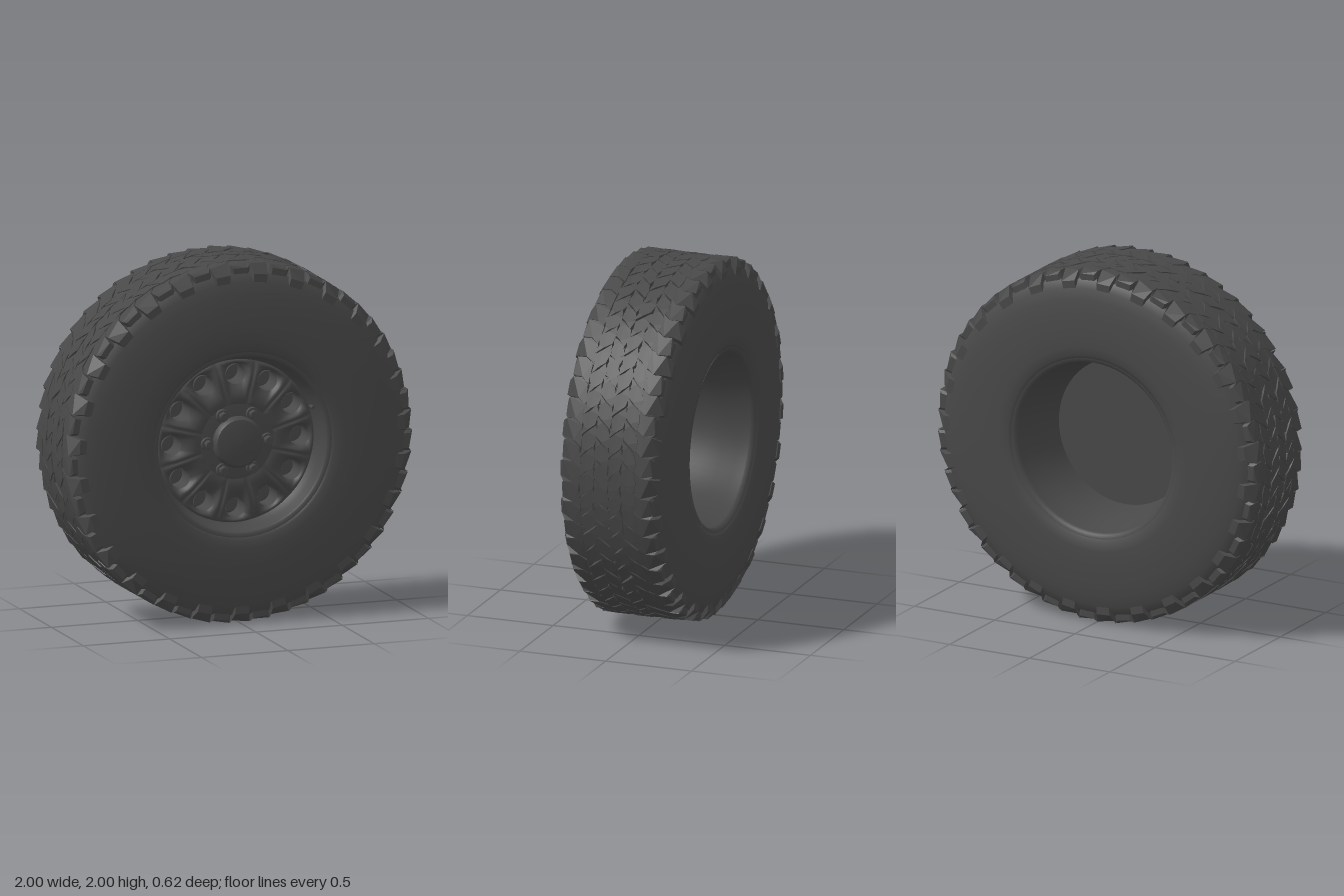
import * as THREE from 'three';
import { mergeGeometries, mergeVertices } from 'three/addons/utils/BufferGeometryUtils.js';

const rubber = new THREE.MeshStandardMaterial({ color: 0x484848, side: THREE.DoubleSide });
rubber.name = 'charcoal';

// Small seeded generator for the irregular tread
let seed = 7;
const rand = () => {
  seed = (seed * 16807) % 2147483647;
  return seed / 2147483647;
};

// Profile of [radius, z] pairs spun round the axle
function spin(profile, segments) {
  const g = new THREE.LatheGeometry(profile.map(([r, z]) => new THREE.Vector2(r, z)), segments);
  return g.rotateX(Math.PI / 2);
}

// One tread lug: outline in (angle, z), wrapped over the tyre crown
function lug(outline, height) {
  const shape = new THREE.Shape(outline.map(([a, z]) => new THREE.Vector2(a, z)));
  const g = new THREE.ExtrudeGeometry(shape, { depth: 1, bevelEnabled: false });
  const p = g.attributes.position;
  for (let i = 0; i < p.count; i++) {
    const a = p.getX(i), z = p.getY(i), top = p.getZ(i);
    const drop = Math.max(0, Math.abs(z) - 0.25) * 1.5;
    const r = 0.955 - drop + top * height;
    p.setXYZ(i, r * Math.cos(a), r * Math.sin(a), z);
  }
  g.computeVertexNormals();
  return g;
}

// Two rows of shoulder lugs and four rows of interlocking centre lugs
function treadRow(row) {
  const count = 54, pitch = (Math.PI * 2) / count, lugs = [];
  for (let i = 0; i < count; i++) {
    const a = (i + (row % 2) * 0.5) * pitch;
    const w = pitch * 0.485, skew = pitch * (row % 2 ? 0.3 : -0.3);
    const h = 0.039 + rand() * 0.006;
    const j = () => (rand() - 0.5) * 0.016;
    if (row === 0 || row === 5) {
      const end = i % 2 ? 0.262 : 0.285;
      let pts = [[a - w - skew, 0.155 + j()], [a + w - skew, 0.155 + j()], [a + w, 0.2],
        [a + w, 0.25], [a + w * 0.75, end], [a - w * 0.75, end], [a - w, 0.25], [a - w, 0.2]];
      if (row === 0) pts = pts.map(([b, z]) => [b, -z]).reverse();
      lugs.push(lug(pts, h));
    } else {
      const z = (row - 2.5) * 0.08, d = 0.039;
      lugs.push(lug([[a - w - skew, z - d + j()], [a - skew, z - d - 0.012], [a + w - skew, z - d + j()],
        [a + w * 0.9, z], [a + w + skew, z + d + j()], [a + skew, z + d - 0.012],
        [a - w + skew, z + d + j()], [a - w * 0.9, z]], h));
    }
  }
  return mergeGeometries(lugs);
}

// Pressed wheel face: one twelfth, stretched from a round hole to the sector edges
const HOLES = 12, HOLE_RING = 0.37, HOLE_R = 0.056;
function faceSector(k) {
  const around = 24, rings = 6, pos = [], index = [];
  const mid = Math.PI / 2 + (k * Math.PI * 2) / HOLES;
  for (let i = 0; i <= rings; i++) {
    const t = i / rings;
    for (let n = 0; n < around; n++) {
      const q = (n / around) * Math.PI * 2, c = Math.cos(q), s = Math.sin(q);
      const m = Math.max(Math.abs(c), Math.abs(s));
      const edgeR = HOLE_RING + (c > 0 ? 0.085 : -0.17) * Math.abs(c / m);
      const edgeA = (s / m) * (Math.PI / HOLES);
      const x = (1 - t) * (HOLE_RING + HOLE_R * c) + t * edgeR * Math.cos(edgeA);
      const y = (1 - t) * HOLE_R * s + t * edgeR * Math.sin(edgeA);
      const r = Math.hypot(x, y);
      const z = 0.2 - Math.max(0, r - 0.36) * 0.25 - 0.022 * (1 - t) ** 2
        + 0.012 * Math.sin(Math.PI * t);
      pos.push(x * Math.cos(mid) - y * Math.sin(mid), x * Math.sin(mid) + y * Math.cos(mid), z);
      if (i < rings) {
        const a = i * around + n, b = i * around + ((n + 1) % around);
        index.push(a, a + around, b, b, a + around, b + around);
      }
    }
  }
  const g = new THREE.BufferGeometry();
  g.setAttribute('position', new THREE.Float32BufferAttribute(pos, 3));
  g.setIndex(index);
  return g;
}

export function createModel() {
  const wheel = new THREE.Group();
  wheel.name = 'offRoadWheel';
  const add = (name, geometry, x = 0, y = 0, z = 0) => {
    const mesh = new THREE.Mesh(geometry, rubber);
    mesh.name = name;
    mesh.position.set(x, y + 1, z);
    wheel.add(mesh);
    return mesh;
  };

  // Tyre carcass with rounded sidewalls
  const side = [[0.497, 0.255], [0.505, 0.288], [0.53, 0.303], [0.58, 0.31], [0.67, 0.309],
    [0.76, 0.303], [0.84, 0.294], [0.9, 0.28], [0.945, 0.262], [0.968, 0.235]];
  add('tyre', spin([...side.map(([r, z]) => [r, -z]), [0.972, 0], ...side.slice().reverse()], 96));
  for (let row = 0; row < 6; row++) add('treadRow', treadRow(row));

  // Rim: front lip, rear barrel and closing disc
  add('rimLip', spin([[0.515, 0.298], [0.495, 0.298], [0.488, 0.285]], 64));
  add('rimWall', spin([[0.488, 0.285], [0.475, 0.23], [0.463, 0.19], [0.45, 0.175]], 64));
  add('rearLip', spin([[0.483, -0.27], [0.49, -0.292], [0.512, -0.296]], 64));
  add('rearBarrel', spin([[0.415, 0.06], [0.425, -0.03], [0.445, -0.13], [0.47, -0.21], [0.483, -0.27]], 64));
  add('rearDisc', new THREE.CircleGeometry(0.416, 64).rotateY(Math.PI), 0, 0, 0.06);

  // Wheel face with twelve holes
  const sectors = [];
  for (let k = 0; k < HOLES; k++) sectors.push(faceSector(k));
  const face = mergeVertices(mergeGeometries(sectors), 1e-4);
  face.computeVertexNormals();
  add('wheelFace', face);
  for (let k = 0; k < HOLES; k++) {
    const a = (k * Math.PI * 2) / HOLES;
    const wall = new THREE.CylinderGeometry(HOLE_R, HOLE_R, 0.12, 24, 1, true).rotateX(Math.PI / 2);
    add('holeWall', wall, HOLE_RING * Math.cos(a), HOLE_RING * Math.sin(a), 0.12);
  }

  // Hub plate, centre cap and six lug nuts
  add('hubPlate', spin([[0.215, 0.198], [0.205, 0.204], [0.13, 0.206]], 48));
  add('capSide', spin([[0.143, 0.204], [0.141, 0.228], [0.128, 0.245]], 32));
  add('capTop', spin([[0.128, 0.245], [0.09, 0.252], [0.04, 0.256], [0, 0.257]], 32));
  for (let k = 0; k < 6; k++) {
    const a = (k * Math.PI) / 3, x = 0.173 * Math.cos(a), y = 0.173 * Math.sin(a);
    add('nutSeat', new THREE.CylinderGeometry(0.034, 0.038, 0.02, 16).rotateX(Math.PI / 2), x, y, 0.21);
    add('lugNut', new THREE.CylinderGeometry(0.022, 0.027, 0.035, 6).rotateX(Math.PI / 2), x, y, 0.232);
  }

  // Valve stem
  add('valve', new THREE.CylinderGeometry(0.01, 0.012, 0.05, 10).rotateX(Math.PI / 2), 0.435, 0.16, 0.2);
  return wheel;
}
